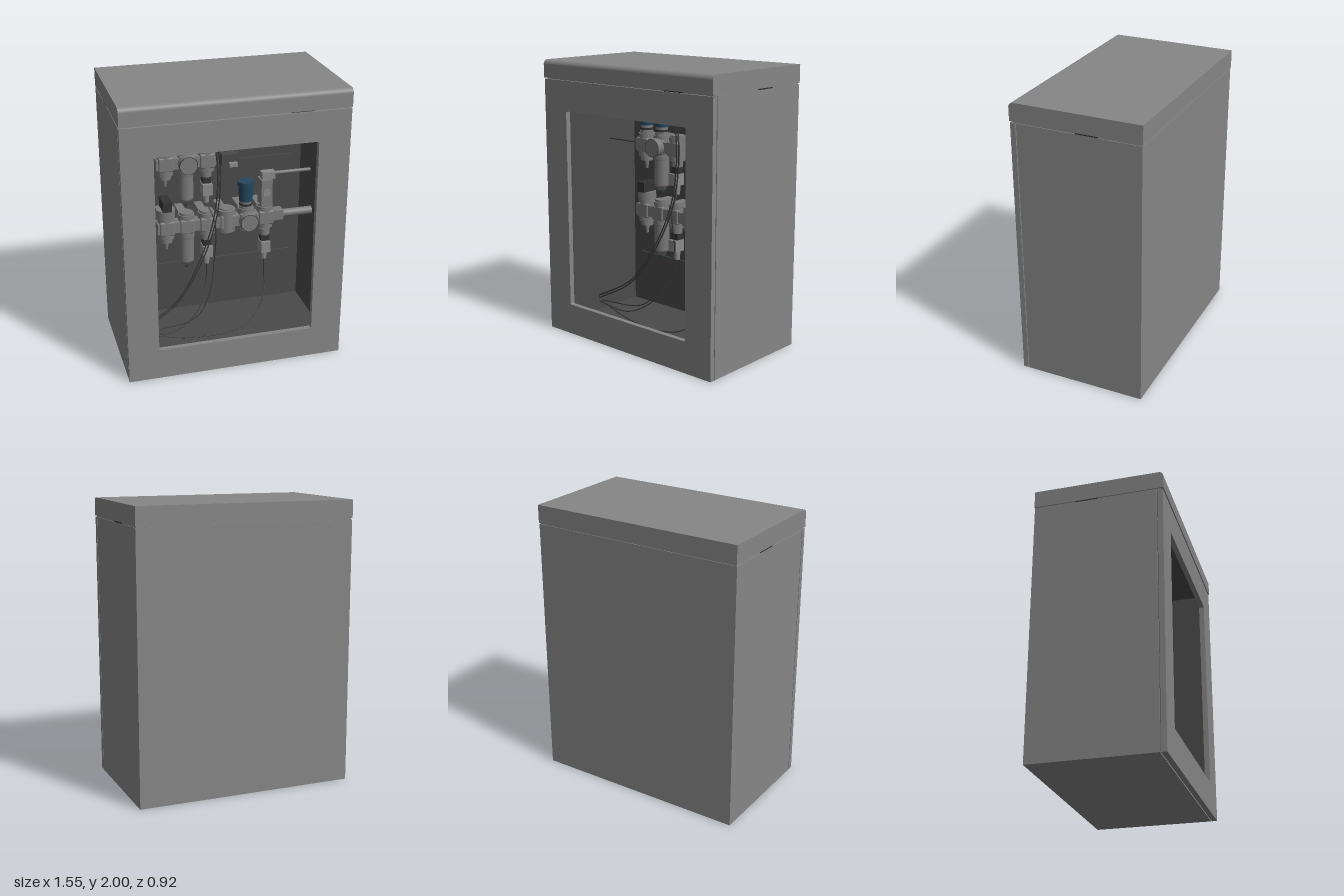
import * as THREE from 'three';
import { RoundedBoxGeometry } from 'three/addons/geometries/RoundedBoxGeometry.js';

const mat = (name, color) => {
  const m = new THREE.MeshStandardMaterial({ color });
  m.name = name;
  return m;
};

export function createModel() {
  const root = new THREE.Group();
  root.name = 'pneumaticCabinet';
  const paint = mat('cabinet grey', 0x868686);
  const inner = mat('interior grey', 0x4a4a4a);
  const metal = mat('fitting grey', 0x7a7a7a);
  const light = mat('connector grey', 0x8a8a8a);
  const black = mat('black plastic', 0x333333);
  const blue = mat('blue plastic', 0x24475f);

  const add = (parent, name, geo, m, x = 0, y = 0, z = 0) => {
    const mesh = new THREE.Mesh(geo, m);
    mesh.name = name;
    mesh.position.set(x, y, z);
    parent.add(mesh);
    return mesh;
  };
  const box = (p, name, m, x0, x1, y0, y1, z0, z1) =>
    add(p, name, new THREE.BoxGeometry(x1 - x0, y1 - y0, z1 - z0), m, (x0 + x1) / 2, (y0 + y1) / 2, (z0 + z1) / 2);
  // upright cylinder between two heights
  const cyl = (p, name, m, x, y0, y1, z, rTop, rBottom = rTop) =>
    add(p, name, new THREE.CylinderGeometry(rTop, rBottom, y1 - y0, 28), m, x, (y0 + y1) / 2, z);
  const tube = (p, name, m, r, pts) =>
    add(p, name, new THREE.TubeGeometry(new THREE.CatmullRomCurve3(pts.map(a => new THREE.Vector3(...a))), 48, r, 8), m);

  // ---- cabinet shell: painted outside, darker lining inside
  const shell = new THREE.Group();
  shell.name = 'shell';
  root.add(shell);
  box(shell, 'backWall', paint, -0.774, 0.774, 0.004, 1.865, -0.455, -0.442);
  box(shell, 'floor', paint, -0.774, 0.774, 0.004, 0.015, -0.45, 0.408);
  box(shell, 'ceiling', paint, -0.774, 0.774, 1.855, 1.865, -0.45, 0.408);
  box(shell, 'backLining', inner, -0.76, 0.76, 0.015, 1.855, -0.442, -0.437);
  box(shell, 'floorLining', inner, -0.76, 0.76, 0.015, 0.02, -0.44, 0.4);
  box(shell, 'ceilingLining', inner, -0.76, 0.76, 1.85, 1.855, -0.44, 0.4);
  for (const s of [-1, 1]) {
    box(shell, 'sideWall', paint, s * 0.768 - 0.006, s * 0.768 + 0.006, 0.004, 1.865, -0.455, 0.41);
    box(shell, 'sideLining', inner, s * 0.7575 - 0.0025, s * 0.7575 + 0.0025, 0.015, 1.855, -0.44, 0.4);
    box(shell, 'doorSealSide', inner, s * 0.685 - 0.075, s * 0.685 + 0.075, 0.02, 1.85, 0.402, 0.417);
    box(shell, 'sideLug', black, s * 0.758 - 0.015, s * 0.758 + 0.015, 1.865, 1.875, -0.16, -0.005);
  }
  box(shell, 'doorSealTop', inner, -0.61, 0.61, 1.72, 1.85, 0.402, 0.417);
  box(shell, 'doorSealBottom', inner, -0.61, 0.61, 0.02, 0.16, 0.402, 0.417);
  box(shell, 'frontLug', black, 0.36, 0.515, 1.865, 1.875, 0.4, 0.442);
  box(shell, 'roofNeck', paint, -0.768, 0.768, 1.86, 1.88, -0.45, 0.435);

  // ---- roof cap with a rounded front top edge
  const profile = new THREE.Shape();
  profile.moveTo(0.459, 1.874);
  profile.lineTo(0.459, 2);
  profile.lineTo(-0.425, 2);
  profile.absarc(-0.425, 1.967, 0.033, Math.PI / 2, Math.PI, false);
  profile.lineTo(-0.458, 1.874);
  const roof = add(root, 'roof', new THREE.ExtrudeGeometry(profile, { depth: 1.55, bevelEnabled: false, curveSegments: 10 }), paint, -0.775, 0, 0);
  roof.rotation.y = Math.PI / 2;

  // ---- door frame with a round-cornered window opening
  const frame = new THREE.Shape();
  frame.moveTo(-0.774, 0.004);
  frame.lineTo(0.774, 0.004);
  frame.lineTo(0.774, 1.865);
  frame.lineTo(-0.774, 1.865);
  const hole = new THREE.Path();
  const [x0, x1, y0, y1, r] = [-0.558, 0.553, 0.228, 1.653, 0.012];
  hole.absarc(x0 + r, y0 + r, r, Math.PI, Math.PI * 1.5, false);
  hole.absarc(x1 - r, y0 + r, r, Math.PI * 1.5, Math.PI * 2, false);
  hole.absarc(x1 - r, y1 - r, r, 0, Math.PI / 2, false);
  hole.absarc(x0 + r, y1 - r, r, Math.PI / 2, Math.PI, false);
  frame.holes.push(hole);
  add(root, 'door', new THREE.ExtrudeGeometry(frame, { depth: 0.037, bevelEnabled: false, curveSegments: 5 }), paint, 0, 0, 0.416);

  // ---- mounting strips on the back wall
  for (const y of [1.0, 0.2]) box(root, 'mountingStrip', inner, -0.68, 0.68, y, y + 0.23, -0.437, -0.425);

  // ---- air treatment units, built in two rows
  const Z = -0.16;
  const body = (g, x, y, w = 0.11) => {
    add(g, 'unitBody', new RoundedBoxGeometry(w, 0.11, 0.12, 2, 0.012), metal, x, y, Z);
    cyl(g, 'unitCollar', metal, x, y - 0.085, y + 0.085, Z, 0.06);
    cyl(g, 'unitCap', metal, x, y + 0.07, y + 0.1, Z, 0.05);
    box(g, 'wallBracket', metal, x - 0.03, x + 0.03, y - 0.05, y + 0.05, -0.425, Z);
  };
  const knob = (g, x, y0, y1) => {
    cyl(g, 'knobNeck', metal, x, y0 - 0.05, y0, Z, 0.044);
    cyl(g, 'knobRing', black, x, y0 - 0.035, y0 - 0.02, Z, 0.049);
    cyl(g, 'knob', blue, x, y0, y1 - 0.03, Z, 0.055, 0.05);
    cyl(g, 'knobTop', blue, x, y1 - 0.03, y1, Z, 0.06);
  };
  const gauge = (g, x, y) => {
    add(g, 'gauge', new THREE.CylinderGeometry(0.066, 0.066, 0.06, 32), metal, x, y, Z + 0.08).rotation.x = Math.PI / 2;
    add(g, 'gaugeRim', new THREE.TorusGeometry(0.065, 0.002, 8, 32), black, x, y, Z + 0.11);
  };
  const bowl = (g, x, y) => {
    const pts = [[0, -0.325], [0.03, -0.325], [0.034, -0.305], [0.05, -0.295], [0.055, -0.28], [0.055, -0.1], [0.06, -0.1], [0.06, -0.07]];
    add(g, 'filterBowl', new THREE.LatheGeometry(pts.map(p => new THREE.Vector2(...p)), 28), metal, x, y, Z);
    cyl(g, 'drainTip', blue, x, y - 0.35, y - 0.325, Z, 0.015, 0.008);
  };
  const nozzle = (g, x, y) => {
    cyl(g, 'nozzleBase', metal, x, y - 0.12, y - 0.07, Z, 0.045);
    cyl(g, 'nozzle', metal, x, y - 0.18, y - 0.12, Z, 0.017, 0.011);
  };
  const sensor = (g, x, y) => {
    cyl(g, 'sensorNeck', metal, x, y - 0.13, y - 0.08, Z, 0.04);
    box(g, 'sensorClamp', black, x - 0.03, x + 0.03, y - 0.185, y - 0.13, Z - 0.03, Z + 0.03);
    box(g, 'sensorPlug', light, x - 0.036, x + 0.036, y - 0.265, y - 0.18, Z - 0.035, Z + 0.055);
    cyl(g, 'sensorGland', light, x, y - 0.335, y - 0.265, Z, 0.026, 0.02);
  };
  const link = (g, x, y) => box(g, 'unitLink', metal, x - 0.035, x + 0.035, y - 0.04, y + 0.04, Z - 0.04, Z + 0.05);

  const upper = new THREE.Group(), lower = new THREE.Group();
  upper.name = 'upperUnitRow';
  lower.name = 'lowerUnitRow';
  root.add(upper, lower);
  const yU = 1.365, yL = 0.87;
  for (const [g, y] of [[upper, yU], [lower, yL]]) {
    for (const x of [-0.36, -0.21, -0.06]) body(g, x, y);
    for (const x of [-0.395, -0.285, -0.135, -0.025]) link(g, x, y);
    nozzle(g, -0.36, y);
    bowl(g, -0.21, y);
    sensor(g, -0.06, y);
  }
  knob(upper, -0.36, 1.51, 1.62);
  knob(upper, -0.21, 1.51, 1.68);
  gauge(upper, -0.21, yU);

  for (const x of [0.09, 0.24, 0.385]) body(lower, x, yL, 0.115);
  for (const x of [0.015, 0.165, 0.31]) link(lower, x, yL);
  cyl(lower, 'blockPlate', metal, 0.09, 0.79, 0.96, Z, 0.068);
  knob(lower, 0.24, 1.01, 1.16);
  gauge(lower, 0.24, yL);
  sensor(lower, 0.385, yL - 0.02);
  cyl(lower, 'shutoffRing', metal, -0.36, 0.95, 1.01, Z, 0.068);
  box(lower, 'shutoffHandle', black, -0.393, -0.327, 1.01, 1.085, Z - 0.07, Z + 0.07);
  box(lower, 'valveBlock', metal, 0.345, 0.428, 0.96, 1.165, Z - 0.05, Z + 0.05);
  add(lower, 'valveButton', new THREE.CylinderGeometry(0.028, 0.028, 0.012, 24), light, 0.385, 1.07, Z + 0.052).rotation.x = Math.PI / 2;
  box(lower, 'valveElbow', light, 0.355, 0.455, 1.165, 1.22, Z - 0.03, Z + 0.03);
  add(lower, 'outletTube', new THREE.CylinderGeometry(0.013, 0.013, 0.28, 16), metal, 0.59, 1.2, Z).rotation.z = Math.PI / 2;
  box(lower, 'outletFitting', metal, 0.44, 0.52, 0.835, 0.91, Z - 0.04, Z + 0.04);
  add(lower, 'outletPipe', new THREE.CylinderGeometry(0.03, 0.03, 0.23, 20), metal, 0.635, 0.87, Z).rotation.z = Math.PI / 2;
  add(upper, 'inletPipe', new THREE.CylinderGeometry(0.004, 0.004, 0.32, 10), black, -0.59, 1.365, Z).rotation.z = Math.PI / 2;

  // ---- terminal block with push-in fittings and air hoses
  const block = new THREE.Group();
  block.name = 'hoseManifold';
  root.add(block);
  box(block, 'manifold', inner, 0.05, 0.28, 1.27, 1.47, -0.425, -0.36);
  box(block, 'manifoldFoot', inner, 0.1, 0.22, 1.23, 1.32, -0.36, -0.3);
  box(block, 'manifoldPlug', light, 0.15, 0.21, 1.23, 1.26, -0.3, -0.27);
  for (const [x, top, tilt] of [[0.11, -0.03, 0.35], [0.18, 0.0, 0.35], [0.235, 0.42, -0.5]]) {
    add(block, 'pushFitting', new THREE.CylinderGeometry(0.017, 0.022, 0.085, 16), light, x, 1.395, -0.33).rotation.z = tilt;
    const k = Math.sign(tilt);
    tube(block, 'airHose', blue, 0.009, [[x - k * 0.015, 1.43, -0.33], [x - k * 0.06, 1.53, -0.31], [top, 1.65, -0.28], [top - k * 0.07, 1.8, -0.27]]);
  }

  // ---- electrical cables falling to the floor
  const cables = new THREE.Group();
  cables.name = 'cables';
  root.add(cables);
  for (const d of [0, 0.02])
    tube(cables, 'longCable', black, 0.005, [[-0.05 + d, 1.75, -0.1], [0.005 + d, 1.3, -0.08], [-0.03 + d, 0.95, -0.05],
      [-0.16 + d, 0.62, 0.0], [-0.33, 0.37 - d, 0.05], [-0.54, 0.24 - d, 0.09], [-0.62, 0.2 - d, 0.1]]);
  tube(cables, 'upperSensorCable', black, 0.004, [[-0.06, 1.03, Z], [-0.02, 0.9, -0.06], [-0.02, 0.6, -0.08], [-0.08, 0.36, 0], [-0.2, 0.21, 0.06], [-0.6, 0.16, 0.09]]);
  tube(cables, 'lowerSensorCable', black, 0.004, [[-0.06, 0.55, Z], [-0.07, 0.42, -0.13], [-0.15, 0.24, -0.02], [-0.35, 0.12, 0.06], [-0.62, 0.15, 0.1]]);
  tube(cables, 'valveSensorCable', black, 0.004, [[0.385, 0.52, Z], [0.38, 0.38, -0.13], [0.34, 0.23, -0.03], [0.15, 0.09, 0.08], [-0.25, 0.07, 0.1], [-0.6, 0.15, 0.09]]);

  return root;
}
